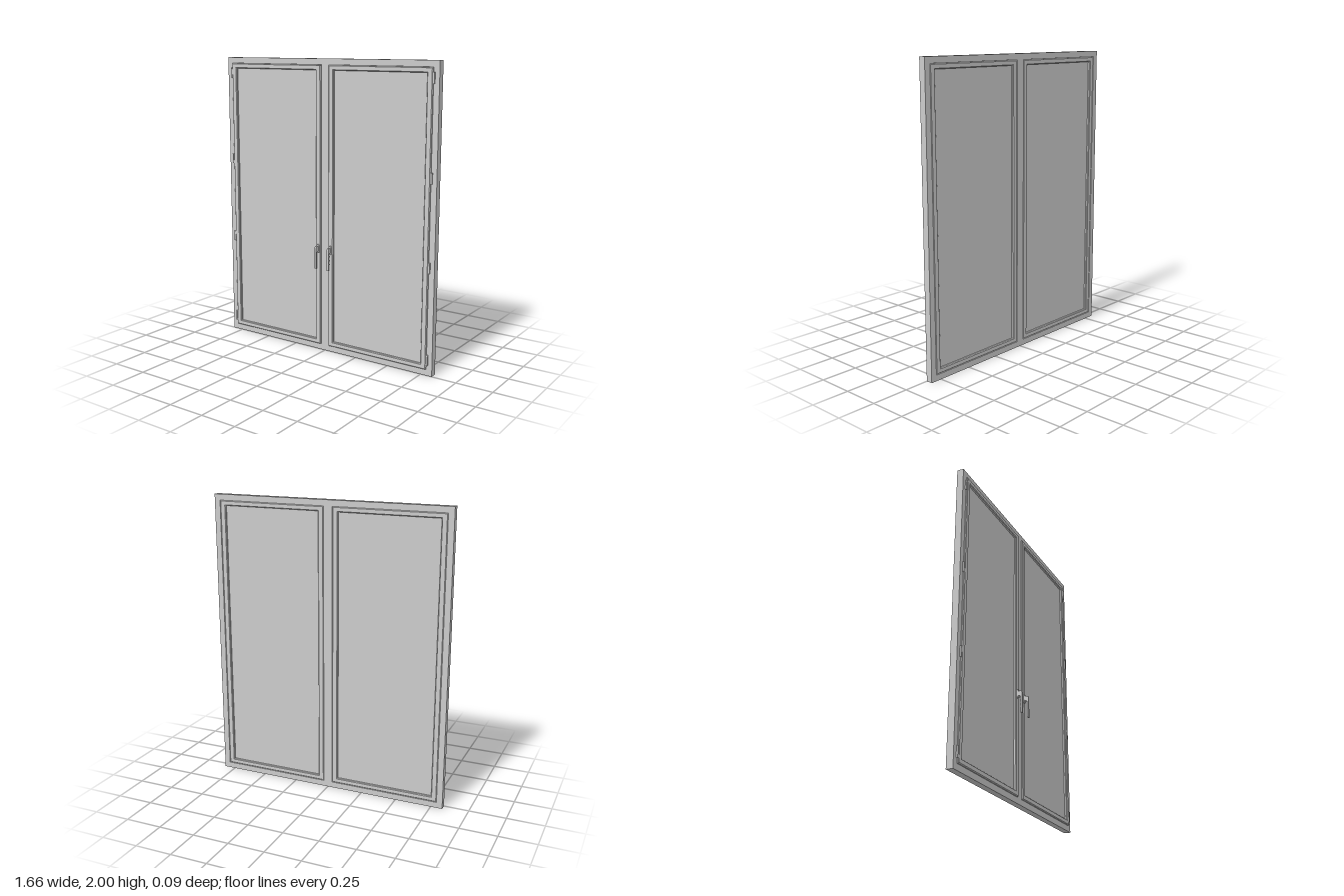
import * as THREE from 'three';

const material = new THREE.MeshStandardMaterial({ color: 0xcccccc });

function addMesh(parent, name, geometry, x = 0, y = 0, z = 0) {
  const mesh = new THREE.Mesh(geometry, material);
  mesh.name = name;
  mesh.position.set(x, y, z);
  parent.add(mesh);
  return mesh;
}

function rectangle(PathType, x0, y0, x1, y1) {
  const path = new PathType();
  path.moveTo(x0, y0).lineTo(x1, y0).lineTo(x1, y1).lineTo(x0, y1).closePath();
  return path;
}

const BACK = -0.045;

// Outer frame: one slab with two openings, leaving the centre mullion
function frameGeometry() {
  const shape = rectangle(THREE.Shape, -0.83, 0, 0.83, 2);
  shape.holes.push(rectangle(THREE.Path, -0.79, 0.04, -0.03, 1.96));
  shape.holes.push(rectangle(THREE.Path, 0.03, 0.04, 0.79, 1.96));
  return new THREE.ExtrudeGeometry(shape, { depth: -BACK, bevelEnabled: false }).translate(0, 0, BACK);
}

// Sash ring with small chamfers on all edges
function sashGeometry() {
  const shape = rectangle(THREE.Shape, 0.031, 0.041, 0.789, 1.959);
  shape.holes.push(rectangle(THREE.Path, 0.07, 0.075, 0.75, 1.925));
  const bevel = 0.005;
  return new THREE.ExtrudeGeometry(shape, {
    depth: 0.055 - 2 * bevel, bevelThickness: bevel, bevelSize: bevel, bevelOffset: -bevel, bevelSegments: 1,
  }).translate(0, 0, BACK + bevel);
}

// Grip side profile in (z, y), with finger waves on the side facing the sash
function gripGeometry(width) {
  const shape = new THREE.Shape();
  shape.moveTo(0.018, 0.742);
  shape.lineTo(0.039, 0.742);
  shape.quadraticCurveTo(0.046, 0.738, 0.045, 0.725);
  shape.lineTo(0.045, 0.59);
  shape.lineTo(0.037, 0.59);
  for (let i = 0; i < 4; i++) {
    const y = 0.59 + i * 0.028;
    shape.quadraticCurveTo(0.031, y + 0.014, 0.036, y + 0.028);
  }
  shape.quadraticCurveTo(0.034, 0.709, 0.018, 0.71);
  shape.closePath();
  return new THREE.ExtrudeGeometry(shape, { depth: width, bevelEnabled: false, curveSegments: 6 })
    .translate(0, 0, -width / 2).rotateY(-Math.PI / 2);
}

// Rounded backplate of the handle
function plateGeometry() {
  const r = 0.011;
  const shape = new THREE.Shape();
  shape.absarc(0, 0.744, r, 0, Math.PI);
  shape.absarc(0, 0.706, r, Math.PI, Math.PI * 2);
  shape.closePath();
  return new THREE.ExtrudeGeometry(shape, { depth: 0.01, bevelEnabled: false, curveSegments: 8 });
}

export function createModel() {
  const model = new THREE.Group();
  model.name = 'doubleWindow';
  addMesh(model, 'outerFrame', frameGeometry());

  const sash = sashGeometry();
  const glass = new THREE.BoxGeometry(0.684, 1.854, 0.024);
  const hinge = new THREE.BoxGeometry(0.013, 0.07, 0.016);
  const grip = gripGeometry(0.014);
  const plate = plateGeometry();

  for (const side of [-1, 1]) {
    const leaf = new THREE.Group();
    leaf.name = side > 0 ? 'leftLeaf' : 'rightLeaf';
    model.add(leaf);
    addMesh(leaf, 'sash', sash, side > 0 ? 0 : -0.82);
    addMesh(leaf, 'glassPane', glass, side * 0.41, 1, -0.018);

    // Four hinges along the outer edge
    for (const y of [0.105, 0.715, 1.285, 1.895]) {
      addMesh(leaf, 'hinge', hinge, side * 0.794, y, 0.002);
    }

    // Handle beside the mullion
    const handle = new THREE.Group();
    handle.name = 'handle';
    handle.position.x = side * 0.05;
    leaf.add(handle);
    addMesh(handle, 'handlePlate', plate, 0, 0, 0.009);
    addMesh(handle, 'handleGrip', grip);
  }
  return model;
}
